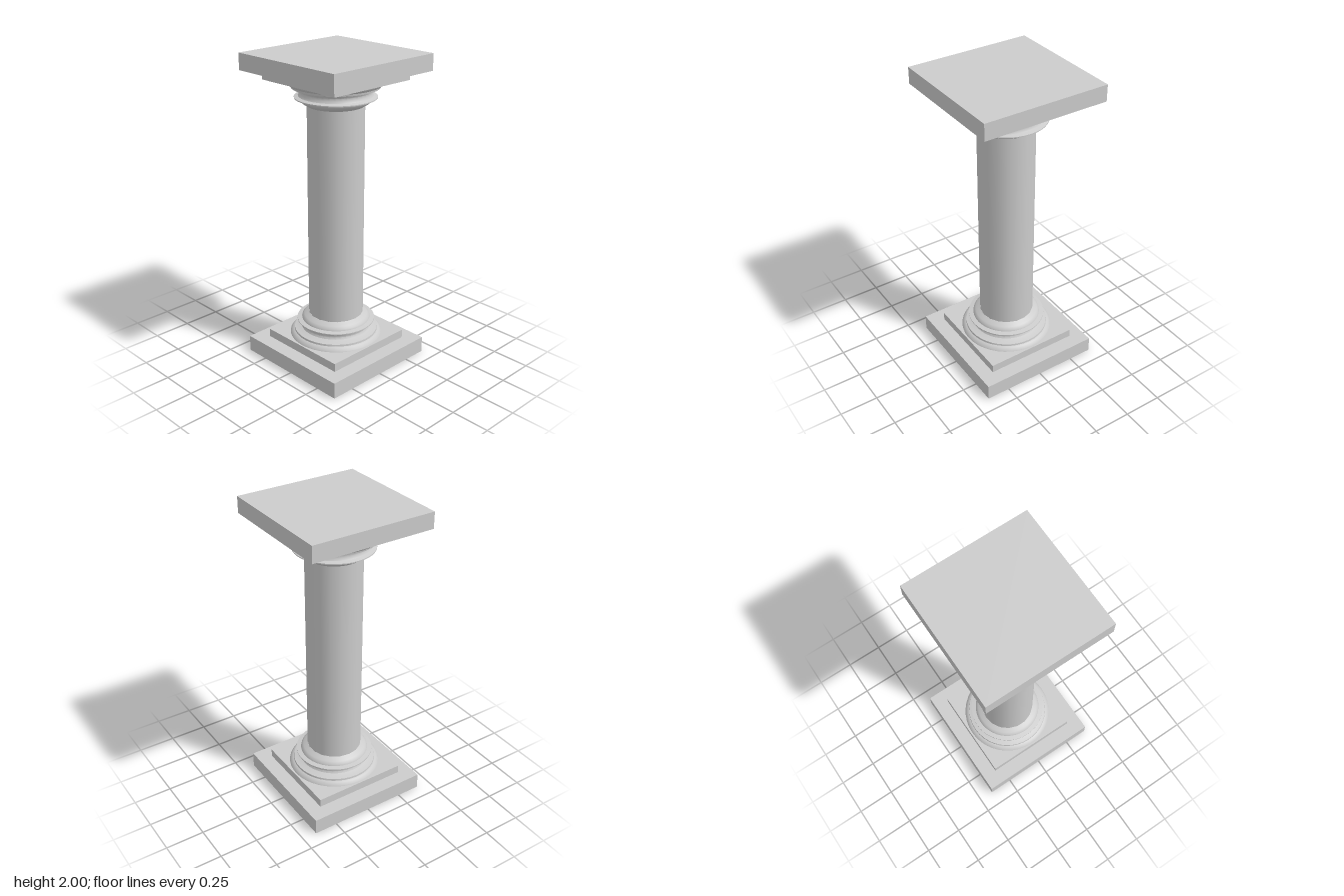
import * as THREE from 'three';
import { toCreasedNormals } from 'three/addons/utils/BufferGeometryUtils.js';

export function createModel() {
  const group = new THREE.Group();
  const material = new THREE.MeshStandardMaterial({ color: 0xcccccc });

  function add(parent, name, geometry, y = 0) {
    const mesh = new THREE.Mesh(geometry, material);
    mesh.name = name;
    mesh.position.y = y;
    parent.add(mesh);
    return mesh;
  }

  // Moulding profile [radius, height], from the slab up to the shaft
  const profile = [
    [0.30, 0.158], [0.297, 0.166], [0.282, 0.182], [0.272, 0.186], [0.27, 0.198],
    [0.245, 0.203], [0.226, 0.21], [0.219, 0.222], [0.22, 0.238], [0.228, 0.25],
    [0.252, 0.257], [0.252, 0.263], [0.222, 0.268], [0.218, 0.28],
    [0.205, 0.292], [0.186, 0.303], [0.176, 0.31], [0.15, 0.31],
  ];

  // One end of the column; the capital is the base turned upside down
  function columnEnd(name) {
    const end = new THREE.Group();
    end.name = name;
    add(end, 'outerSlab', new THREE.BoxGeometry(0.81, 0.105, 0.81), 0.0525);
    add(end, 'innerSlab', new THREE.BoxGeometry(0.62, 0.055, 0.62), 0.1325);
    const points = profile.map(([r, y]) => new THREE.Vector2(r, y));
    add(end, 'moulding', toCreasedNormals(new THREE.LatheGeometry(points, 40), 0.6));
    group.add(end);
    return end;
  }

  columnEnd('base');
  const capital = columnEnd('capital');
  capital.rotation.x = Math.PI;
  capital.position.y = 2;

  // Smooth round shaft, open where the mouldings cover its ends
  const shaft = add(group, 'shaft', new THREE.CylinderGeometry(0.177, 0.177, 1.42, 18, 1, true), 1);
  shaft.rotation.y = Math.PI / 2;

  return group;
}
